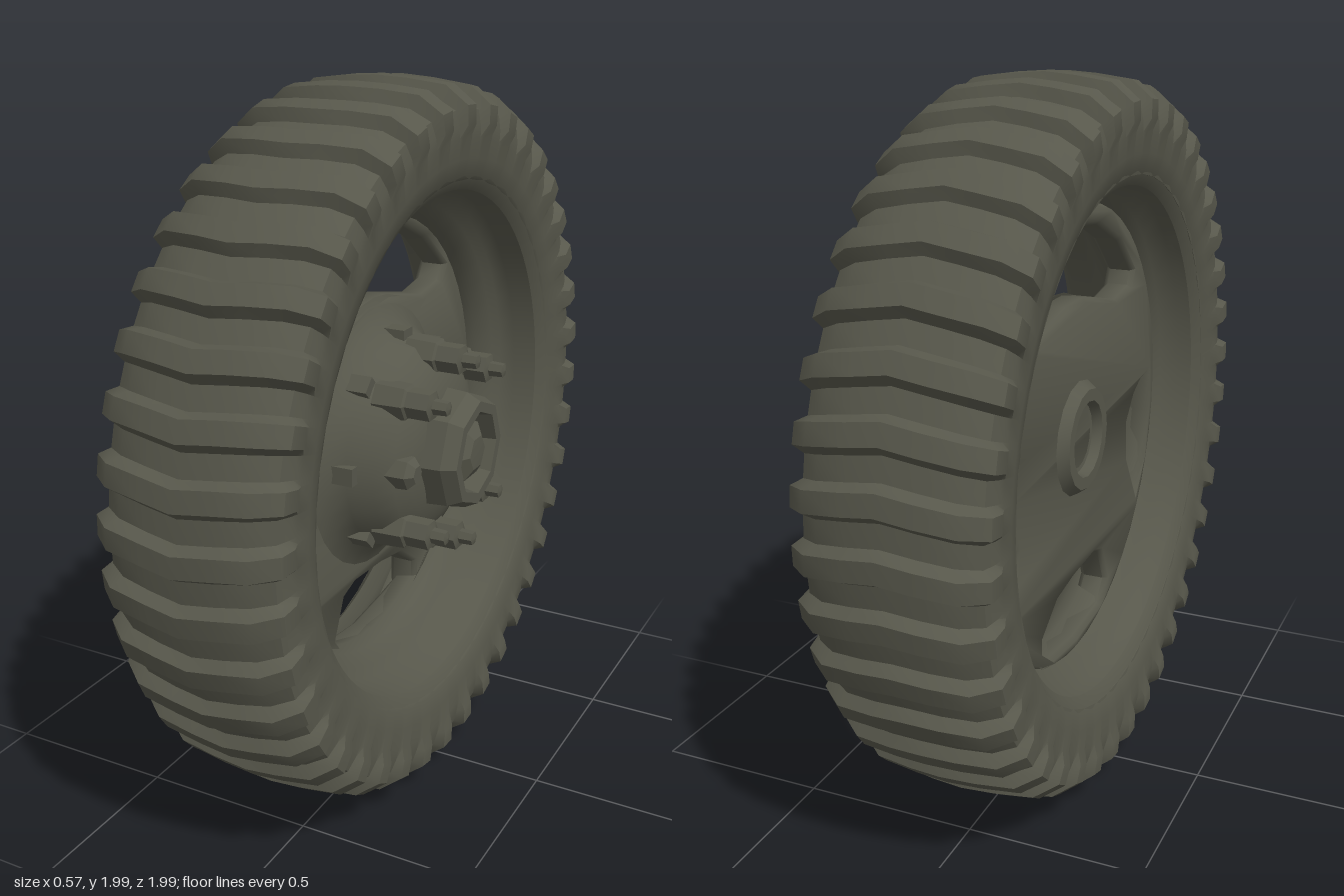
import * as THREE from 'three';
import { toCreasedNormals } from 'three/addons/utils/BufferGeometryUtils.js';

const CX = -0.025; // middle of the tyre along the axle

export function createModel() {
  const group = new THREE.Group();
  const wheel = new THREE.Group();
  wheel.name = 'wheel';
  wheel.position.y = 1;
  group.add(wheel);

  const olive = new THREE.MeshStandardMaterial({ color: 0x57574b, side: THREE.DoubleSide });
  olive.name = 'olive grey';

  const add = (name, geo, crease = 0.7) => {
    const mesh = new THREE.Mesh(toCreasedNormals(geo, crease), olive);
    mesh.name = name;
    wheel.add(mesh);
    return mesh;
  };
  // Lathe around the axle (x); points are [radius, x]
  const lathe = (pts, sides) =>
    new THREE.LatheGeometry(pts.map(p => new THREE.Vector2(p[0], p[1])), sides).rotateZ(-Math.PI / 2);

  add('tyre', tyreGeometry());

  // Rim: barrel seen from inside, stepped on both sides of the disc
  add('rim', lathe([
    [0.76, 0.205], [0.735, 0.2], [0.72, 0.17], [0.71, 0.1], [0.69, 0.06], [0.66, 0.045], [0.63, 0.0],
    [0.615, -0.04], [0.625, -0.09], [0.68, -0.13], [0.715, -0.18], [0.735, -0.25], [0.76, -0.255],
  ], 48), 1);

  // Wheel disc with four windows
  const shape = new THREE.Shape().absarc(0, 0, 0.66, 0, Math.PI * 2);
  const windows = [
    [[-0.44, 0.39], [-0.42, 0.35], [-0.31, 0.33], [-0.15, 0.37], [-0.05, 0.39], [0.08, 0.39], [0.3, 0.34],
      [0.41, 0.36], [0.44, 0.4], [0.3, 0.51], [0.15, 0.575], [0, 0.59], [-0.15, 0.575], [-0.32, 0.5]],
    [[-0.61, 0.03], [-0.53, 0.02], [-0.47, -0.01], [-0.41, -0.08], [-0.42, -0.2], [-0.51, -0.35],
      [-0.58, -0.25], [-0.61, -0.1]],
    [[0.5, 0.05], [0.61, 0.06], [0.62, -0.07], [0.58, -0.25], [0.51, -0.35], [0.44, -0.27],
      [0.42, -0.18], [0.47, -0.04]],
    [[-0.2, -0.43], [-0.14, -0.41], [0.03, -0.42], [0.15, -0.44], [0.25, -0.51], [0.25, -0.59],
      [0.2, -0.6], [0, -0.62], [-0.2, -0.6], [-0.25, -0.54]],
  ];
  for (const w of windows) {
    shape.holes.push(new THREE.Path(w.map(p => new THREE.Vector2(p[0], p[1]))));
  }
  const disc = new THREE.ExtrudeGeometry(shape, {
    depth: 0.06, bevelEnabled: true, bevelSize: 0.012, bevelOffset: -0.012, bevelThickness: 0.015,
    bevelSegments: 1, curveSegments: 24,
  });
  add('disc', disc.rotateY(Math.PI / 2).translate(-0.1, 0, 0), 0.9);

  // Hub dome and the ring on the back
  add('hub', lathe([
    [0.4, -0.035], [0.34, -0.01], [0.305, 0.04], [0.29, 0.11], [0.25, 0.155], [0.2, 0.18], [0.15, 0.2], [0, 0.2],
  ], 32), 0.8);
  add('backRing', lathe([
    [0, -0.1], [0.1, -0.117], [0.11, -0.145], [0.145, -0.145], [0.17, -0.11],
  ].map(([r, x]) => [r, x]), 16));

  // Octagonal hub nut with a hex cap inside its collar
  add('hubNut', lathe([
    [0.175, 0.18], [0.17, 0.25], [0.15, 0.29], [0.12, 0.29], [0.11, 0.235], [0, 0.235],
  ], 8), 0.3);
  add('hubCap', lathe([[0.09, 0.22], [0.085, 0.265], [0.05, 0.285], [0, 0.288]], 6), 0.5);

  // Ring of bolts: collar, hex nut and stud end
  for (let i = 0; i < 8; i++) {
    const a = i * Math.PI / 4;
    const small = i % 4 === 2; // the pair lying level with the axle
    const bolt = lathe(small
      ? [[0.05, 0.1], [0.045, 0.19], [0.025, 0.21], [0, 0.21]]
      : [[0.055, 0.08], [0.05, 0.165], [0.042, 0.17], [0.042, 0.235], [0.022, 0.24], [0.02, 0.28], [0, 0.285]], 6);
    bolt.translate(0, (small ? 0.22 : 0.26) * Math.cos(a), (small ? 0.22 : 0.26) * Math.sin(a));
    add('bolt', bolt, 0.4);

    // Low rib running from each bolt out to the disc
    const rib = new THREE.BoxGeometry(0.08, 0.07, 0.05).translate(0.03, 0.29, 0).rotateX(a);
    add('boltRib', rib, 0.4);
  }
  return group;
}

// Tyre: a cross-section swept round the axle, swelling outwards at every tread bar
function tyreGeometry() {
  // [offset along axle, radius, bar push along axle, bar push in radius]
  const half = [
    [0.2, 0.705, 0, 0], [0.225, 0.735, 0, 0], [0.238, 0.79, 0, 0], [0.24, 0.845, 0.003, 0],
    [0.238, 0.875, 0.018, 0.004], [0.228, 0.915, 0.026, 0.014], [0.175, 0.947, 0.018, 0.03], [0.09, 0.96, 0, 0.03],
  ];
  const section = [...half, [0, 0.966, 0, 0.03], ...half.slice().reverse().map(p => [-p[0], p[1], -p[2], p[3]])];
  const bars = 40;
  const steps = [[0, 0], [0.4, 0], [0.52, 1], [0.88, 1]]; // [place within one pitch, bar height]
  const rows = bars * steps.length;
  const pos = [], index = [];
  for (let j = 0; j < rows; j++) {
    const [t, h] = steps[j % steps.length];
    const base = (Math.floor(j / steps.length) + t) / bars * Math.PI * 2;
    for (const [u, r, du, dr] of section) {
      const a = base + 0.035 * (1 - Math.abs(u) / 0.26); // slight chevron
      const R = r + dr * h;
      pos.push(CX + u + du * h, R * Math.cos(a), R * Math.sin(a));
    }
  }
  const n = section.length;
  for (let j = 0; j < rows; j++) {
    const k = (j + 1) % rows;
    for (let i = 0; i < n - 1; i++) {
      const a = j * n + i, b = a + 1, c = k * n + i, d = c + 1;
      index.push(a, b, c, b, d, c);
    }
  }
  const geo = new THREE.BufferGeometry();
  geo.setAttribute('position', new THREE.Float32BufferAttribute(pos, 3));
  geo.setIndex(index);
  return geo;
}
